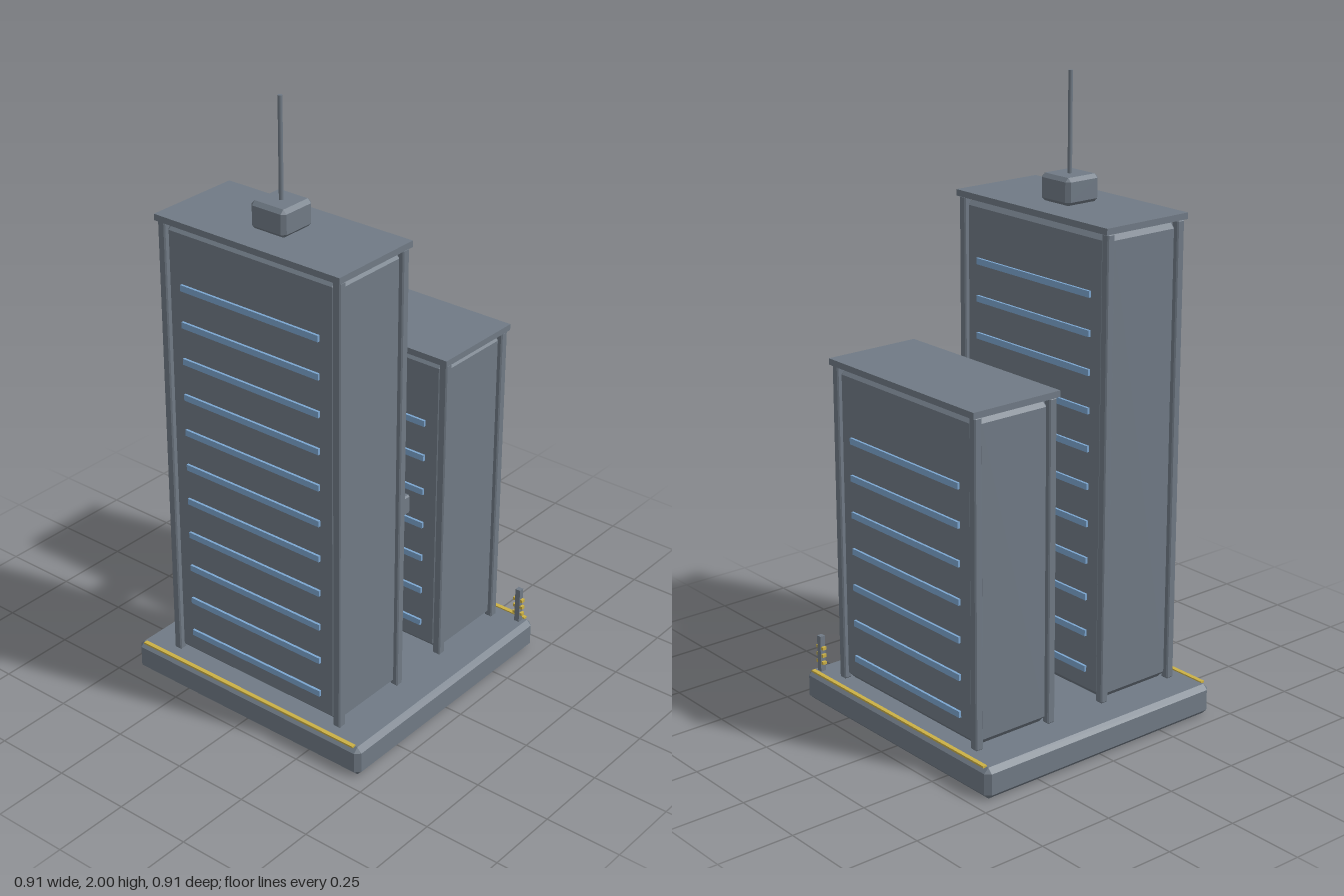
import * as THREE from 'three';
import { ConvexGeometry } from 'three/addons/geometries/ConvexGeometry.js';

const concrete = new THREE.MeshStandardMaterial({ color: 0x707a85 });
concrete.name = 'concreteGrey';
const glass = new THREE.MeshStandardMaterial({ color: 0x7ba5cf });
glass.name = 'windowBlue';
const paint = new THREE.MeshStandardMaterial({ color: 0xcbb045 });
paint.name = 'warningYellow';

// Box with every edge cut at 45 degrees
function chamferBox(w, h, d, c) {
  const points = [];
  for (const x of [-1, 1]) for (const y of [-1, 1]) for (const z of [-1, 1]) {
    const [a, b, e] = [w / 2, h / 2, d / 2];
    points.push(
      new THREE.Vector3(x * a, y * (b - c), z * (e - c)),
      new THREE.Vector3(x * (a - c), y * b, z * (e - c)),
      new THREE.Vector3(x * (a - c), y * (b - c), z * e));
  }
  return new ConvexGeometry(points);
}

function add(parent, name, geometry, material, x, y, z) {
  const mesh = new THREE.Mesh(geometry, material);
  mesh.name = name;
  mesh.position.set(x, y, z);
  parent.add(mesh);
  return mesh;
}

const BASE = 0.1;

// Office block with corner columns, roof slab and window bands front and back
function tower(name, z, roofTop, rows) {
  const g = new THREE.Group();
  g.name = name;
  g.position.z = z;
  const h = roofTop - 0.02 - BASE;
  const mid = BASE + h / 2;
  add(g, 'towerBody', chamferBox(0.66, h, 0.29, 0.025), concrete, 0, mid, 0);
  add(g, 'roofSlab', new THREE.BoxGeometry(0.69, 0.02, 0.324), concrete, 0, roofTop - 0.01, 0);
  const column = chamferBox(0.028, h, 0.028, 0.004);
  const band = new THREE.BoxGeometry(0.52, 0.02, 0.009);
  for (const s of [-1, 1]) {
    for (const x of [-1, 1]) add(g, 'cornerColumn', column, concrete, x * 0.327, mid, s * 0.14);
    for (let i = 0; i < rows; i++) add(g, 'windowBand', band, glass, 0, 0.19 + i * 0.12, s * 0.1485);
  }
  return g;
}

export function createModel() {
  const model = new THREE.Group();
  model.name = 'twinTowers';

  // Plinth and painted edge stripes
  add(model, 'plinth', chamferBox(0.91, BASE, 0.91, 0.016), concrete, 0, BASE / 2, 0);
  for (const s of [-1, 1])
    add(model, 'edgeStripe', new THREE.BoxGeometry(0.86, 0.006, 0.014), paint, 0, BASE + 0.001, s * 0.444);

  // Towers
  model.add(tower('frontTower', 0.248, 1.604, 11));
  model.add(tower('backTower', -0.25, 1.154, 7));

  // Sky bridges
  const bridge = chamferBox(0.1, 0.066, 0.23, 0.005);
  add(model, 'upperBridge', bridge, concrete, 0, 1.013, 0);
  add(model, 'lowerBridge', bridge, concrete, 0.154, 0.603, 0);

  // Rooftop plant room and mast
  add(model, 'plantRoom', chamferBox(0.13, 0.086, 0.13, 0.012), concrete, 0, 1.646, 0.248);
  add(model, 'mast', new THREE.CylinderGeometry(0.007, 0.007, 0.32, 12), concrete, 0, 1.84, 0.248);

  // Small marker post with yellow bars
  const post = new THREE.Group();
  post.name = 'markerPost';
  post.position.set(0.417, 0, -0.42);
  add(post, 'post', new THREE.BoxGeometry(0.018, 0.12, 0.018), concrete, 0, BASE + 0.06, 0);
  for (const y of [0.13, 0.155, 0.18])
    add(post, 'markerBar', new THREE.BoxGeometry(0.036, 0.01, 0.014), paint, 0, y, 0);
  model.add(post);

  return model;
}
